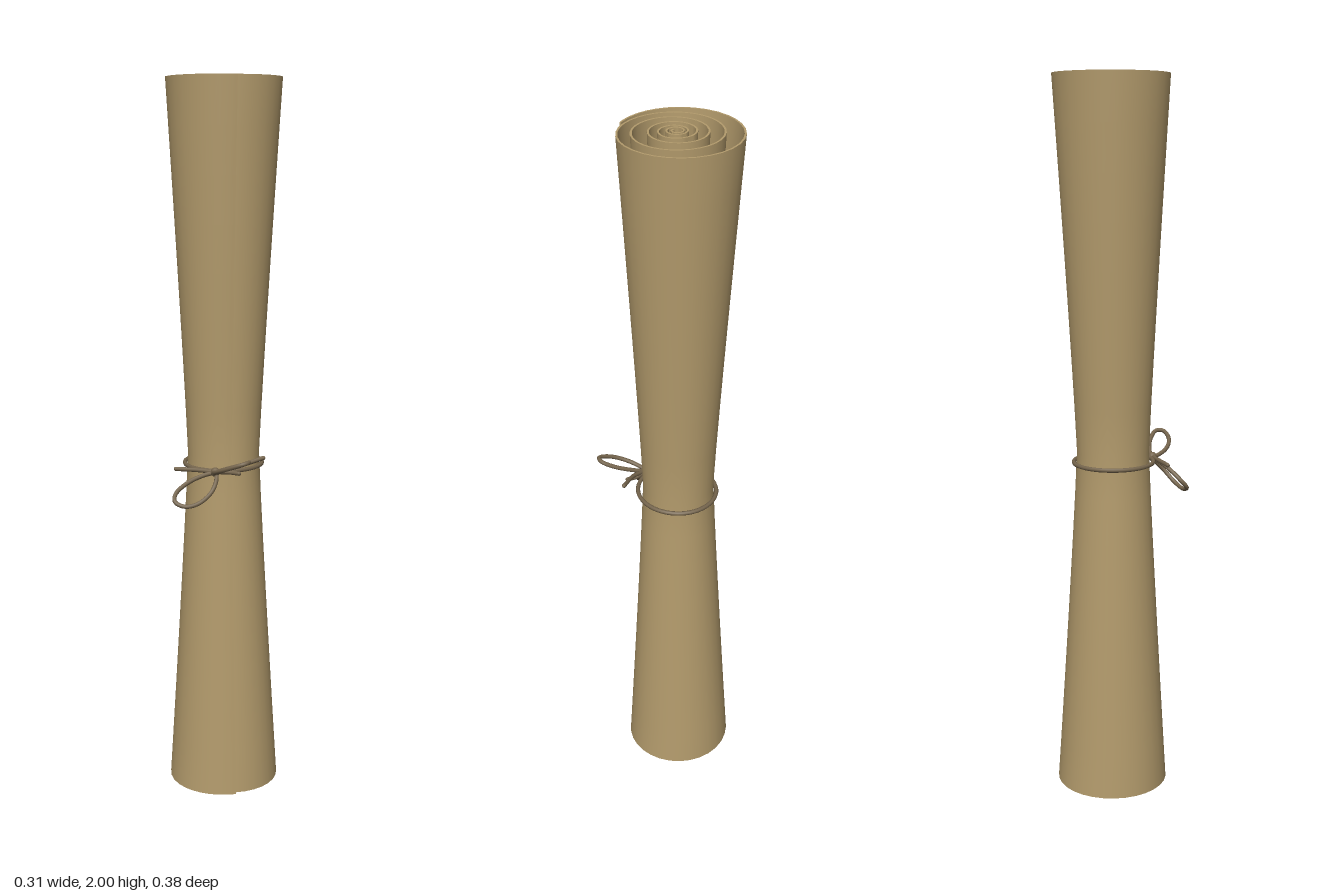
import * as THREE from 'three';
import { toCreasedNormals } from 'three/addons/utils/BufferGeometryUtils.js';

const parchment = new THREE.MeshStandardMaterial({ name: 'parchment', color: 0xb39b6c });
const cord = new THREE.MeshStandardMaterial({ name: 'cord', color: 0x75654d });

const AXIS_Z = -0.02, WAIST_Y = 0.98, THICKNESS = 0.005;

// Spiral radius at every quarter turn, from the inner curl to the free edge
const RADII = [
  0.012, 0.016, 0.018, 0.02,
  0.024, 0.028, 0.028, 0.03,
  0.038, 0.05, 0.05, 0.052,
  0.062, 0.075, 0.08, 0.08,
  0.095, 0.118, 0.12, 0.116,
  0.125, 0.155, 0.169, 0.157, 0.145,
];

// Scale of the cross-section: full at the ends, pinched at the waist
function pinch(y) {
  const span = y > WAIST_Y ? 2 - WAIST_Y : WAIST_Y;
  return 0.64 + 0.36 * Math.pow(Math.abs(y - WAIST_Y) / span, 1.1);
}

// A thin rolled sheet: spiral outline lofted from bottom to top
function rolledSheet() {
  const knots = RADII.map((r, i) => new THREE.Vector2(i * Math.PI / 2, r));
  knots.push(new THREE.Vector2((RADII.length - 1) * Math.PI / 2 + 0.56, 0.145));
  const spiral = new THREE.SplineCurve(knots).getPoints((knots.length - 1) * 8);
  const at = (angle, r) => [r * Math.sin(angle), r * Math.cos(angle)];
  const outer = spiral.map(p => at(p.x, p.y));
  const inner = spiral.map(p => at(p.x, p.y - THICKNESS));
  const outline = [...outer, ...inner.reverse()];
  const n = outline.length, rows = 16;
  const position = [], index = [];
  for (let j = 0; j <= rows; j++) {
    const half = rows / 2;
    const y = j <= half ? WAIST_Y * j / half : WAIST_Y + (2 - WAIST_Y) * (j - half) / half;
    const s = pinch(y);
    for (const [x, z] of outline) position.push(x * s, y, AXIS_Z + z * s);
  }
  for (let j = 0; j < rows; j++) {
    for (let i = 0; i < n; i++) {
      const k = (i + 1) % n;
      const a = j * n + i, b = j * n + k, c = b + n, d = a + n;
      index.push(a, b, c, a, c, d);
    }
  }
  // Paper edges at top and bottom
  const top = rows * n;
  for (let i = 0; i < n / 2 - 1; i++) {
    const a = i, b = i + 1, c = n - 2 - i, d = n - 1 - i;
    index.push(top + a, top + b, top + c, top + a, top + c, top + d);
    index.push(a, c, b, a, d, c);
  }
  const geometry = new THREE.BufferGeometry();
  geometry.setAttribute('position', new THREE.Float32BufferAttribute(position, 3));
  geometry.setIndex(index);
  return toCreasedNormals(geometry, 0.7);
}

function add(group, name, geometry, material) {
  const mesh = new THREE.Mesh(geometry, material);
  mesh.name = name;
  group.add(mesh);
  return mesh;
}

// A length of string through the given points, optionally with closed ends
function string(group, name, points, closed = false) {
  const curve = new THREE.CatmullRomCurve3(points.map(p => new THREE.Vector3(...p)), closed);
  const radius = 0.006;
  add(group, name, new THREE.TubeGeometry(curve, closed ? 48 : 20, radius, 8, closed), cord);
  if (closed) return;
  for (const t of [0, 1]) {
    const cap = add(group, name + 'End', new THREE.SphereGeometry(radius, 8, 6), cord);
    cap.position.copy(curve.getPoint(t));
  }
}

export function createModel() {
  const model = new THREE.Group();
  model.name = 'tiedScroll';
  add(model, 'rolledSheet', rolledSheet(), parchment);

  const tie = new THREE.Group();
  tie.name = 'tie';
  model.add(tie);

  // Band around the waist
  const band = [];
  for (let i = 0; i < 16; i++) {
    const a = i * Math.PI / 8;
    band.push([0.109 * Math.sin(a), 0.95, -0.025 + 0.112 * Math.cos(a)]);
  }
  string(tie, 'band', band, true);

  // Bow: two loops, one raised and one drooping
  string(tie, 'raisedLoop', [
    [0.015, 0.95, 0.1], [0.025, 0.957, 0.135], [0.055, 0.972, 0.168], [0.09, 0.987, 0.182],
    [0.122, 0.998, 0.179], [0.128, 0.998, 0.16], [0.105, 0.985, 0.135], [0.06, 0.967, 0.11],
  ], true);
  string(tie, 'droopingLoop', [
    [0.015, 0.945, 0.1], [0.02, 0.91, 0.135], [-0.01, 0.876, 0.158], [-0.05, 0.864, 0.167],
    [-0.08, 0.875, 0.165], [-0.082, 0.895, 0.148], [-0.04, 0.93, 0.12],
  ], true);

  // Loose ends
  string(tie, 'rightTail', [[0.015, 0.95, 0.1], [-0.04, 0.951, 0.096], [-0.1, 0.95, 0.097]]);
  string(tie, 'leftTail', [[0.015, 0.95, 0.1], [0.07, 0.965, 0.085], [0.135, 0.985, 0.042]]);
  string(tie, 'shortTail', [[0.015, 0.95, 0.1], [0.05, 0.95, 0.092], [0.082, 0.95, 0.098]]);

  const knot = add(tie, 'knot', new THREE.SphereGeometry(0.013, 12, 8), cord);
  knot.position.set(0.015, 0.95, 0.1);
  return model;
}
